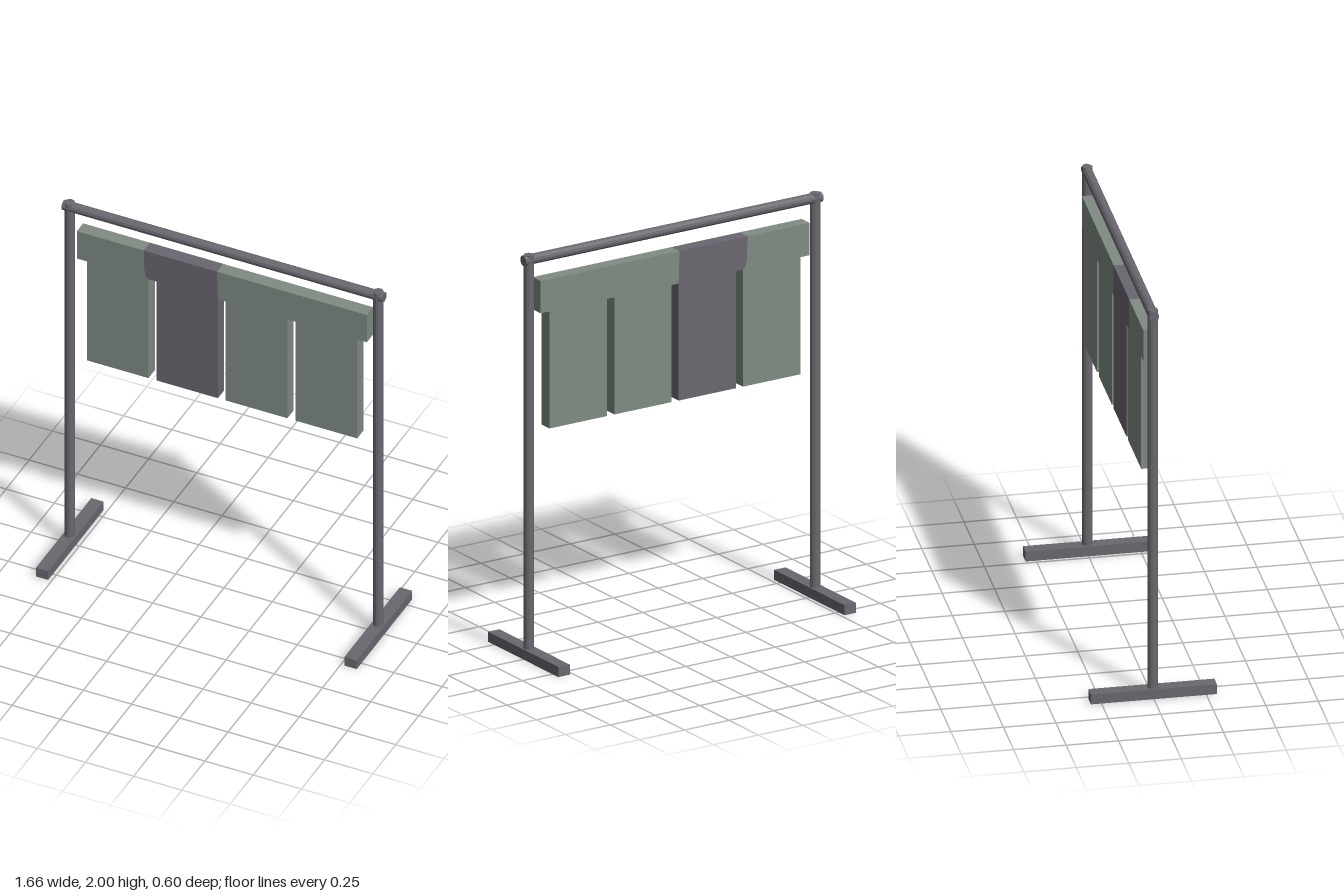
import * as THREE from 'three';

export function createModel() {
  const group = new THREE.Group();
  const green = new THREE.MeshStandardMaterial({ color: 0x7f8c83 });
  green.name = 'sage green';
  const grey = new THREE.MeshStandardMaterial({ color: 0x6b6771 });
  grey.name = 'purple grey';
  const steel = new THREE.MeshStandardMaterial({ color: 0x6a6870, flatShading: true });
  steel.name = 'frame grey';

  const add = (name, geometry, material, x = 0, y = 0, z = 0) => {
    const mesh = new THREE.Mesh(geometry, material);
    mesh.name = name;
    mesh.position.set(x, y, z);
    group.add(mesh);
    return mesh;
  };

  // Frame: two feet, two posts and a crossbar
  for (const [side, x] of [['left', 0.8], ['right', -0.8]]) {
    add(side + 'Foot', new THREE.BoxGeometry(0.064, 0.05, 0.6), steel, x, 0.025, 0);
    add(side + 'Post', new THREE.CylinderGeometry(0.025, 0.025, 1.95, 12), steel, x, 1.025, 0);
  }
  add('crossbar', new THREE.CylinderGeometry(0.025, 0.025, 1.664, 12), steel, 0, 1.975, 0)
    .rotation.z = Math.PI / 2;

  // Hanging panel: one slotted slab, split where the colour changes
  const depth = 0.068, top = 1.87, slotTop = 1.71, bottom = 1.13;
  const slab = (name, points, material) => {
    const shape = new THREE.Shape(points.map(([x, y]) => new THREE.Vector2(x, y)));
    const geometry = new THREE.ExtrudeGeometry(shape, { depth, bevelEnabled: false });
    add(name, geometry, material, 0, 0, -depth / 2);
  };
  const strip = (x) => [[x, slotTop], [x, bottom], [x + 0.32, bottom], [x + 0.32, slotTop]];
  // Irregular colour boundary beside the dark strip
  const edge = [[-0.375, slotTop], [-0.39, 1.725], [-0.397, 1.76], [-0.4, top]];

  slab('rightPanel', [[-0.747, top], [-0.747, slotTop], ...strip(-0.695), ...edge.slice(1)], green);
  slab('darkPanel', [...edge.slice().reverse(), ...strip(-0.335), [-0.02, top]], grey);
  slab('leftPanel', [[-0.02, top], [-0.015, slotTop], ...strip(0.025), ...strip(0.387),
    [0.757, slotTop], [0.757, top]], green);

  return group;
}
